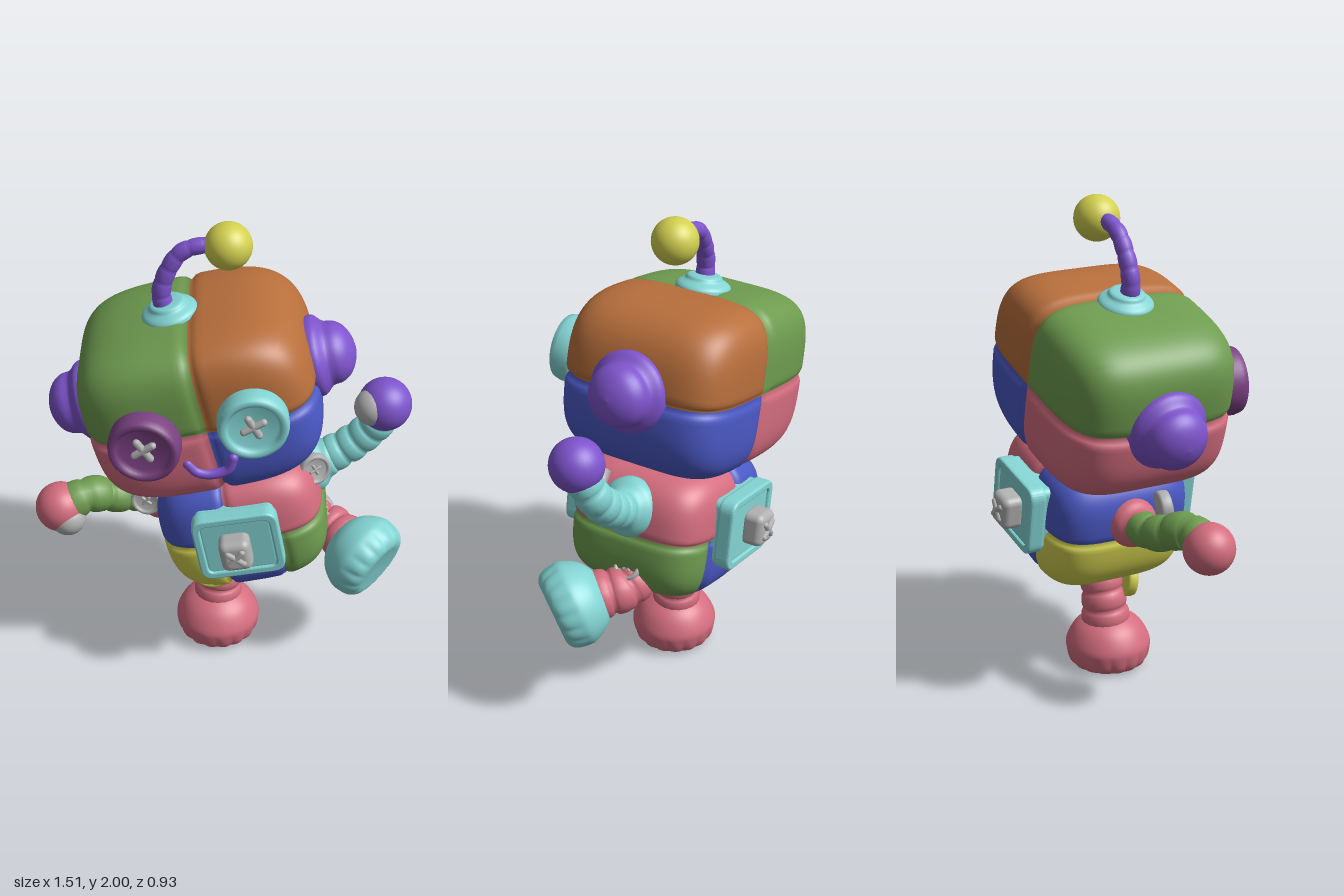
import * as THREE from 'three';
import { mergeVertices } from 'three/addons/utils/BufferGeometryUtils.js';
import { RoundedBoxGeometry } from 'three/addons/geometries/RoundedBoxGeometry.js';

const palette = {
  green: 0x6f9c50, orange: 0xb86f3c, blue: 0x4b59c6, pink: 0xd46d7f, purple: 0x7e54cd,
  cyan: 0x84d4d4, yellow: 0xd3d150, grey: 0xb2b2b2, plum: 0x7b4182,
};
const mats = {};
for (const [name, hex] of Object.entries(palette)) {
  mats[name] = new THREE.MeshStandardMaterial({ color: hex });
  mats[name].name = name;
}
const V = (x, y, z) => new THREE.Vector3(x, y, z);
const UP = V(0, 1, 0);

function mesh(name, geo, mat) {
  const m = new THREE.Mesh(geo, mats[mat]);
  m.name = name;
  return m;
}

// Put an object at a point with its y axis along dir, after a twist about that axis
function place(obj, pos, dir = UP, twist = 0) {
  obj.position.copy(pos);
  obj.quaternion.setFromUnitVectors(UP, dir.clone().normalize());
  obj.rotateY(twist);
  return obj;
}

// Weld and give smooth normals
function smooth(geo) {
  geo.deleteAttribute('normal');
  geo.deleteAttribute('uv');
  const g = mergeVertices(geo, 1e-5);
  g.computeVertexNormals();
  return g;
}

function lathe(points, curved = true, segs = 40) {
  let pts = points.map(([x, y]) => new THREE.Vector2(x, y));
  if (curved) pts = new THREE.SplineCurve(pts).getPoints(36);
  pts.forEach((p) => { p.x = Math.max(p.x, 0); });
  return new THREE.LatheGeometry(pts, segs);
}

// Rounded block sewn from coloured patches with grooves along the seams
function patchwork(name, { left, right, top, bottom, depth, nLeft, nRight, nz }, patchOf, seamDistance) {
  const group = new THREE.Group();
  group.name = name;
  const geo = new THREE.BoxGeometry(2, 2, 2, 40, 40, 40);
  geo.deleteAttribute('normal');
  geo.deleteAttribute('uv');
  const g = mergeVertices(geo, 1e-5);
  const pos = g.attributes.position, idx = g.index.array, lists = {};
  for (let i = 0; i < idx.length; i += 3) {
    const tri = [idx[i], idx[i + 1], idx[i + 2]];
    const mean = (f) => tri.reduce((s, j) => s + pos[f](j), 0) / 3;
    const key = patchOf(mean('getX'), mean('getY'));
    (lists[key] ??= []).push(...tri);
  }
  for (let i = 0; i < pos.count; i++) {
    const a = pos.getX(i), b = pos.getY(i), c = pos.getZ(i), n = a < 0 ? nLeft : nRight;
    const xy = Math.pow(Math.abs(a) ** n + Math.abs(b) ** n, 1 / n);
    const k = Math.pow(xy ** nz + Math.abs(c) ** nz, 1 / nz);
    const d = Math.min(seamDistance(a, b) / 0.1, 1);
    const s = (1 - 0.05 * (1 - d) ** 2) / k;
    pos.setXYZ(i, a * s * (a < 0 ? left : right), b * s * (b < 0 ? bottom : top), c * s * depth);
  }
  g.computeVertexNormals();
  for (const key in lists) {
    const part = new THREE.BufferGeometry();
    part.setAttribute('position', pos);
    part.setAttribute('normal', g.attributes.normal);
    part.setIndex(lists[key]);
    group.add(mesh(name + 'Patch_' + key, part, key));
  }
  return group;
}

// Two crossed stitches lying in the xz plane
function cross(size, mat) {
  const g = new THREE.Group();
  g.name = 'crossStitch';
  for (const s of [-1, 1]) {
    const bar = mesh('stitch', new THREE.CapsuleGeometry(size * 0.26, size * 1.5, 4, 10), mat);
    bar.rotation.set(0, s * Math.PI / 4, Math.PI / 2);
    g.add(bar);
  }
  return g;
}

// Round button with a raised rim, facing +y
function button(name, r, h, mat) {
  const g = new THREE.Group();
  g.name = name;
  g.add(mesh('disc', lathe([[0, 0], [r * 0.92, 0], [r, h * 0.25], [r, h * 0.7], [r * 0.95, h * 0.94],
    [r * 0.85, h], [r * 0.74, h * 0.93], [r * 0.68, h * 0.72], [0, h * 0.72]], false), mat));
  const x = cross(r * 0.41, 'grey');
  x.position.y = h * 0.78;
  g.add(x);
  return g;
}

// Tube with soft rings, radius running from r0 to r1
function ringedTube(name, pts, r0, r1, rings, mat, bulge = 0.15) {
  const curve = new THREE.CatmullRomCurve3(pts.map((p) => V(...p)));
  const segs = rings * 8, sides = 20;
  const geo = new THREE.TubeGeometry(curve, segs, 1, sides);
  const pos = geo.attributes.position, v = V(0, 0, 0);
  for (let i = 0; i < pos.count; i++) {
    const t = Math.floor(i / (sides + 1)) / segs, c = curve.getPointAt(t);
    const r = (r0 + (r1 - r0) * t) * (1 - bulge + bulge * Math.sqrt(Math.abs(Math.sin(Math.PI * rings * t))));
    v.fromBufferAttribute(pos, i).sub(c).multiplyScalar(r).add(c);
    pos.setXYZ(i, v.x, v.y, v.z);
  }
  return mesh(name, smooth(geo), mat);
}

function ball(name, r, x, y, z, mat) {
  const m = mesh(name, new THREE.SphereGeometry(r, 32, 24), mat);
  m.position.set(x, y, z);
  return m;
}

// Domed foot with a scalloped rim, sole at y = 0
function foot(name, mat) {
  const geo = lathe([[0, 0.012], [0.08, 0.008], [0.13, 0.006], [0.164, 0.03], [0.177, 0.08], [0.174, 0.12],
    [0.145, 0.175], [0.105, 0.21], [0.05, 0.235], [0, 0.24]], true, 112);
  const pos = geo.attributes.position;
  for (let i = 0; i < pos.count; i++) {
    const x = pos.getX(i), y = pos.getY(i), z = pos.getZ(i);
    const fade = Math.max(0, 1 - Math.abs(y - 0.03) / 0.07) * Math.min(1, Math.hypot(x, z) / 0.15);
    const s = 1 - 0.05 * fade * (1 - Math.abs(Math.sin(Math.atan2(x, z) * 8)));
    pos.setXYZ(i, x * s, y, z * s);
  }
  return mesh(name, smooth(geo), mat);
}

// Flared collar where a limb joins the body
const collar = (name, r, h, mat) => mesh(name, lathe([[0, 0], [r * 0.9, 0], [r, h * 0.2], [r * 0.92, h * 0.45],
  [r * 0.7, h * 0.7], [r * 0.55, h], [0, h * 1.05]]), mat);

function roundedRect(path, w, h, r) {
  path.moveTo(-w + r, -h).lineTo(w - r, -h).quadraticCurveTo(w, -h, w, -h + r).lineTo(w, h - r)
    .quadraticCurveTo(w, h, w - r, h).lineTo(-w + r, h).quadraticCurveTo(-w, h, -w, h - r)
    .lineTo(-w, -h + r).quadraticCurveTo(-w, -h, -w + r, -h);
  return path;
}

// Framed plate with a stitched square knob, facing +z
function panel(name, knobX) {
  const g = new THREE.Group();
  g.name = name;
  g.add(mesh('plate', new RoundedBoxGeometry(0.32, 0.28, 0.13, 4, 0.03), 'cyan'));
  const shape = roundedRect(new THREE.Shape(), 0.164, 0.142, 0.045);
  shape.holes.push(roundedRect(new THREE.Path(), 0.146, 0.124, 0.035));
  const frame = mesh('frame', new THREE.ExtrudeGeometry(shape, { depth: 0.045, bevelSize: 0.008,
    bevelThickness: 0.012, bevelSegments: 3, curveSegments: 8 }), 'cyan');
  frame.position.z = 0.018;
  const knob = mesh('knob', new RoundedBoxGeometry(0.125, 0.14, 0.1, 4, 0.03), 'grey');
  knob.position.set(knobX, 0, 0.095);
  g.add(frame, knob, place(cross(0.052, 'grey'), V(knobX, 0, 0.143), V(0, 0, 1)));
  return g;
}

export function createModel() {
  const model = new THREE.Group();
  model.name = 'patchworkRobot';
  const add = (...o) => model.add(...o);
  const tilt = 0.24, U = V(Math.cos(tilt), Math.sin(tilt), 0), W = V(-U.y, U.x, 0);
  const centre = V(-0.05, 1.3, -0.005);
  const onHead = (u, v) => centre.clone().addScaledVector(U, u).addScaledVector(W, v);

  // Head
  const head = patchwork('head',
    { left: 0.488, right: 0.435, top: 0.35, bottom: 0.345, depth: 0.368, nLeft: 4, nRight: 3.3, nz: 4.6 },
    (a, b) => (b > 0 ? (a < 0 ? 'green' : 'orange') : (a < 0 ? 'pink' : 'blue')),
    (a, b) => Math.min(Math.abs(a), Math.abs(b)));
  head.position.copy(centre);
  head.rotation.z = tilt;
  add(head);

  // Face
  add(place(button('rightEye', 0.14, 0.11, 'plum'), V(-0.28, 1.27, 0.335), V(-0.1, 0, 1), -0.25));
  add(place(button('leftEye', 0.137, 0.105, 'cyan'), V(0.12, 1.38, 0.338), V(0.06, 0.03, 1), -0.2));
  add(ringedTube('mouth', [[-0.125, 1.16, 0.355], [-0.09, 1.125, 0.36], [-0.03, 1.115, 0.36], [0.03, 1.14, 0.36],
    [0.05, 1.195, 0.36]], 0.02, 0.02, 3, 'purple', 0));
  add(ball('mouthCorner', 0.02, -0.125, 1.16, 0.355, 'purple'), ball('mouthCorner', 0.02, 0.05, 1.195, 0.36, 'purple'));

  // Ears
  for (const [name, s, u] of [['leftEar', 1, 0.385], ['rightEar', -1, 0.44]]) {
    const ear = mesh(name, lathe([[0, 0], [0.145, 0], [0.16, 0.035], [0.158, 0.065], [0.135, 0.09], [0.126, 0.105],
      [0.12, 0.14], [0.095, 0.175], [0.05, 0.2], [0, 0.21]]), 'purple');
    add(place(ear, onHead(s * u, 0.02), U.clone().multiplyScalar(s)));
  }

  // Antenna
  add(place(collar('antennaBase', 0.11, 0.06, 'cyan'), onHead(-0.07, 0.335), W));
  add(ringedTube('antennaStem', [[-0.22, 1.64, 0], [-0.23, 1.71, 0], [-0.205, 1.8, -0.005], [-0.15, 1.88, -0.01],
    [-0.07, 1.91, -0.01], [0, 1.912, -0.01]], 0.039, 0.031, 7, 'purple', 0.1));
  add(ball('antennaBall', 0.092, 0.025, 1.908, -0.01, 'yellow'));

  // Body
  const body = patchwork('body',
    { left: 0.3, right: 0.375, top: 0.275, bottom: 0.285, depth: 0.31, nLeft: 3.2, nRight: 3.6, nz: 4.2 },
    (a, b) => (b > 0 ? (a < 0 ? 'blue' : 'pink') : (a < -0.2 ? 'yellow' : a < 0.55 ? 'blue' : 'green')),
    (a, b) => Math.min(Math.abs(b), Math.hypot(a, Math.min(b, 0)), Math.hypot(a + 0.2, Math.max(b, 0)),
      Math.hypot(a - 0.55, Math.max(b, 0))));
  body.position.set(0.05, 0.715, 0);
  body.rotation.z = 0.22;
  add(body);

  // Front and back panels
  const front = panel('frontPanel', -0.01), back = panel('backPanel', 0.015);
  front.position.set(0.072, 0.762, 0.305);
  front.rotation.z = 0.18;
  back.position.set(0.062, 0.762, -0.308);
  back.rotation.set(0, Math.PI, -0.18);
  add(front, back);

  // Left arm, raised
  add(place(collar('leftShoulder', 0.12, 0.12, 'cyan'), V(0.345, 0.89, 0), V(1, 0.45, 0)));
  add(ringedTube('leftArm', [[0.36, 0.91, 0], [0.46, 0.945, -0.01], [0.55, 1.01, -0.015], [0.625, 1.1, -0.005],
    [0.655, 1.2, 0.03]], 0.08, 0.07, 6, 'cyan'));
  add(ball('leftHand', 0.107, 0.645, 1.232, 0.05, 'purple'));
  add(ball('leftThumb', 0.076, 0.598, 1.235, 0.075, 'grey'));
  add(place(button('leftShoulderButton', 0.065, 0.05, 'grey'), V(0.364, 0.962, 0.105), V(0.35, 0.22, 1)));

  // Right arm, held out
  add(place(collar('rightShoulder', 0.1, 0.11, 'pink'), V(-0.24, 0.728, 0), V(-1, 0.1, 0.05)));
  add(ringedTube('rightArm', [[-0.29, 0.735, 0], [-0.38, 0.73, 0.01], [-0.47, 0.755, 0.04], [-0.55, 0.785, 0.08],
    [-0.64, 0.75, 0.11]], 0.07, 0.08, 4, 'green'));
  add(ball('rightHand', 0.103, -0.657, 0.745, 0.11, 'pink'));
  add(ball('rightThumb', 0.074, -0.627, 0.714, 0.142, 'grey'));
  add(place(button('rightShoulderButton', 0.065, 0.05, 'grey'), V(-0.297, 0.79, 0.09), V(-0.2, 0.1, 1)));

  // Right leg, standing
  const standing = foot('rightFoot', 'pink');
  standing.position.set(-0.015, 0, 0.02);
  add(standing);
  add(ringedTube('rightLeg', [[-0.015, 0.19, 0.01], [-0.01, 0.28, 0.005], [0.01, 0.38, 0], [0.04, 0.48, 0]],
    0.105, 0.08, 4, 'pink'));
  add(place(button('rightHipButton', 0.08, 0.045, 'yellow'), V(-0.04, 0.388, 0.075), V(-0.15, -0.1, 1)));

  // Left leg, kicking
  const sole = V(0.72, -0.3, 0.6);
  add(place(foot('leftFoot', 'cyan'), V(0.658, 0.49, 0.19), sole.clone().negate()));
  add(ringedTube('leftLeg', [[0.3, 0.61, -0.05], [0.37, 0.585, -0.045], [0.44, 0.56, -0.02], [0.53, 0.54, 0.07]],
    0.08, 0.105, 4, 'pink'));
  add(place(button('leftHipButton', 0.06, 0.045, 'grey'), V(0.405, 0.635, -0.03), V(0.7, 0.7, 0.1)));
  return model;
}
